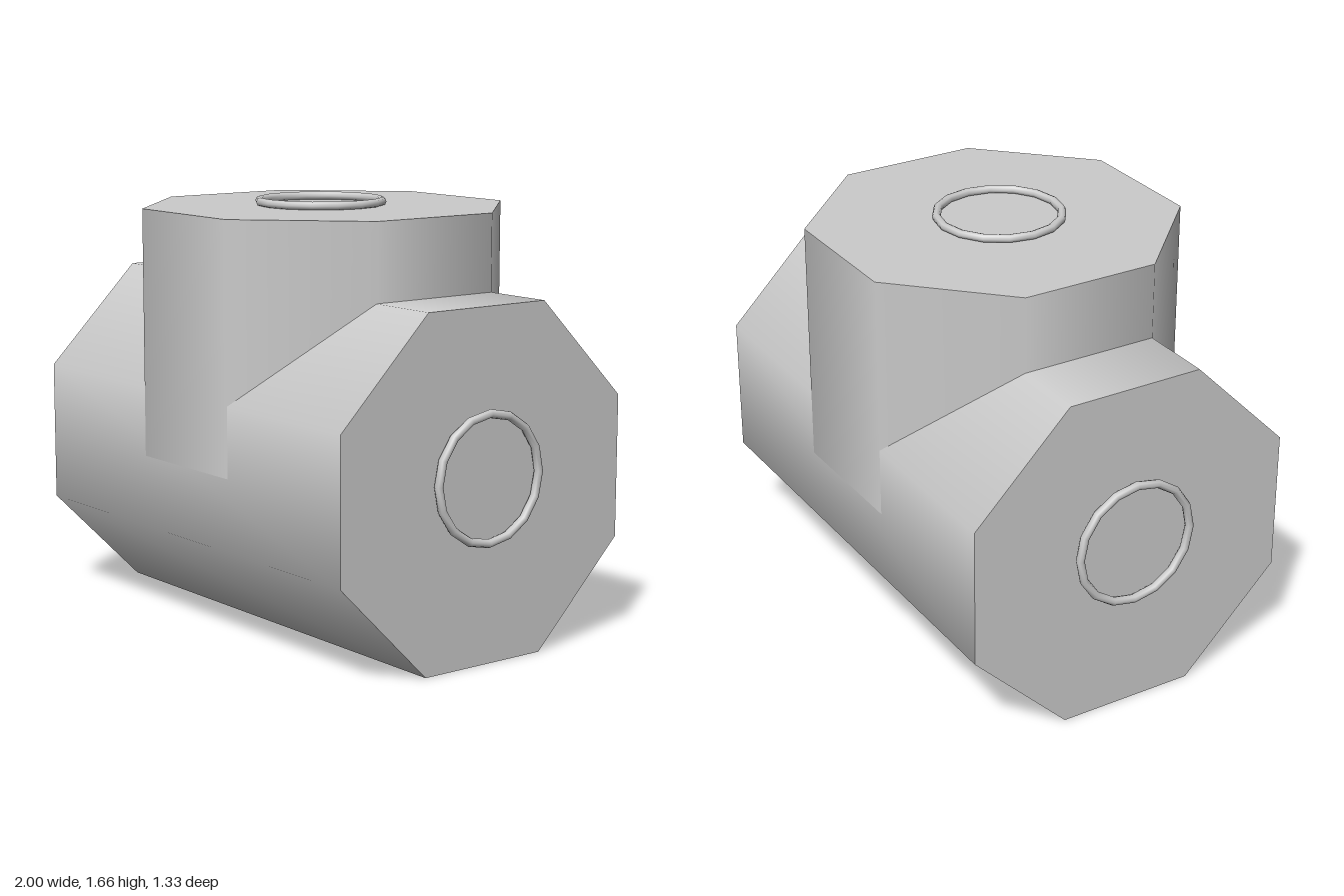
import * as THREE from 'three';

const material = new THREE.MeshStandardMaterial({ color: 0xcccccc });
const APOTHEM = 0.664;
const RADIUS = APOTHEM / Math.cos(Math.PI / 8);

function addMesh(parent, name, geometry, x, y, z) {
  const mesh = new THREE.Mesh(geometry, material);
  mesh.name = name;
  mesh.position.set(x, y, z);
  parent.add(mesh);
  return mesh;
}

// Eight-sided, smooth-shaded pipe with flats facing the axes
function pipe(radius, length) {
  return new THREE.CylinderGeometry(radius, radius, length, 8, 1, false, Math.PI / 8);
}

export function createModel() {
  const group = new THREE.Group();
  group.name = 'teeFitting';

  // Horizontal run
  const run = pipe(RADIUS, 1.917).rotateZ(Math.PI / 2);
  addMesh(group, 'horizontalPipe', run, 0.001, APOTHEM, 0);

  // Branch rising from the middle of the run, a hair wider so its flats show
  addMesh(group, 'verticalPipe', pipe(RADIUS + 0.0007, 0.958), 0.004, 1.146, 0);

  // Thin ring at each of the three openings
  const ring = new THREE.TorusGeometry(0.24, 0.0165, 8, 16);
  for (const side of [-1, 1]) {
    const mesh = addMesh(group, side > 0 ? 'leftRing' : 'rightRing', ring, side * 0.9835, 0.702, 0.002);
    mesh.rotation.y = Math.PI / 2;
  }
  addMesh(group, 'topRing', ring, -0.001, 1.64, 0.018).rotation.x = -Math.PI / 2;

  return group;
}
